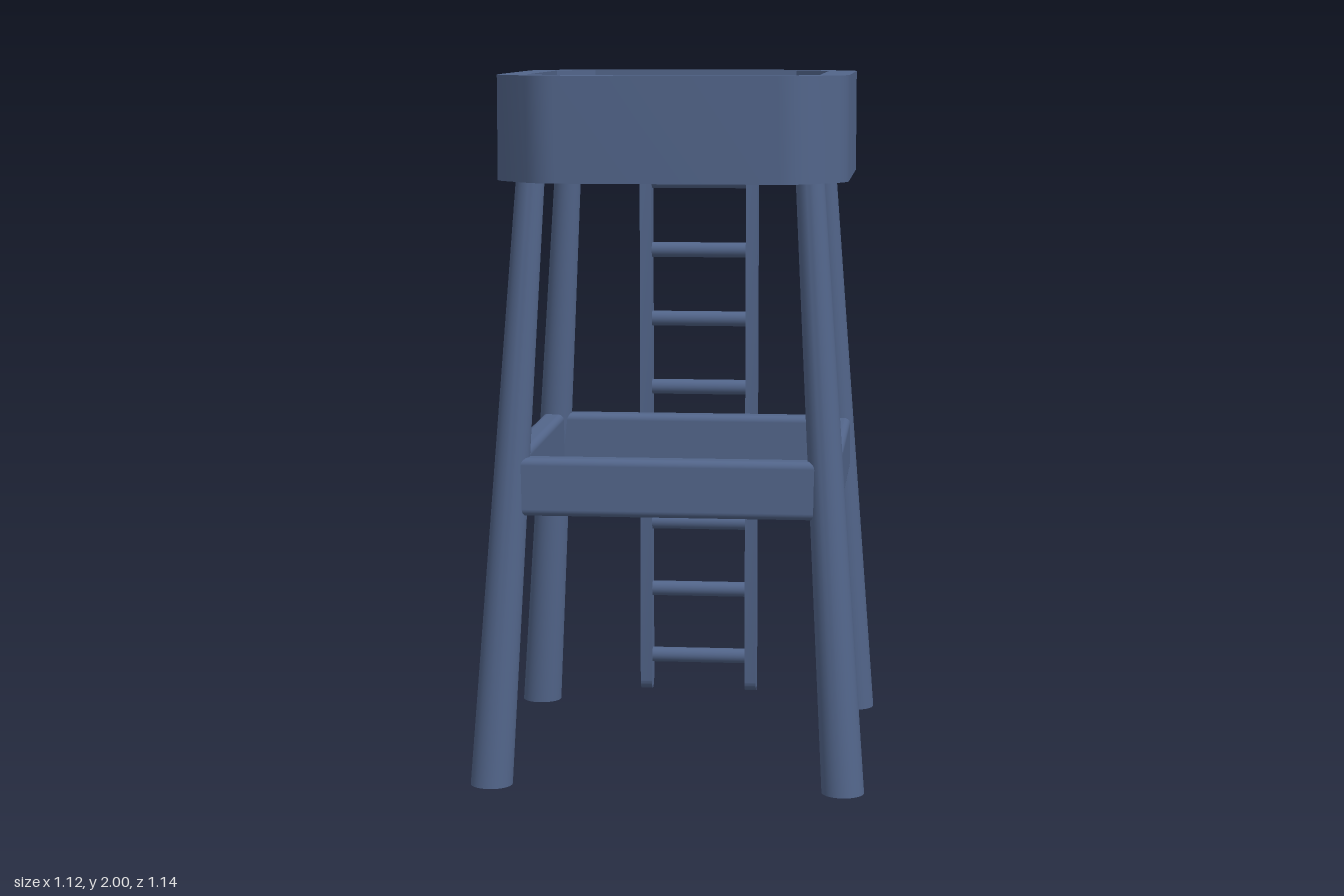
import * as THREE from 'three';
import { toCreasedNormals } from 'three/addons/utils/BufferGeometryUtils.js';
import { RoundedBoxGeometry } from 'three/addons/geometries/RoundedBoxGeometry.js';

const paint = new THREE.MeshStandardMaterial({ color: 0x52658a });
paint.name = 'slate blue paint';

function add(parent, name, geometry, x = 0, y = 0, z = 0) {
  const mesh = new THREE.Mesh(geometry, paint);
  mesh.name = name;
  mesh.position.set(x, y, z);
  parent.add(mesh);
  return mesh;
}

// Octagon corner points of a square with cut corners
function octagon(half, cut) {
  const a = half - cut;
  return [[a, half], [-a, half], [-half, a], [-half, -a], [-a, -half], [a, -half], [half, -a], [half, a]]
    .map(([x, y]) => new THREE.Vector2(x, y));
}

// Cut-corner square whose corners are softened by short curves
function softOctagon(half, cut, soft) {
  const shape = new THREE.Shape();
  const points = octagon(half, cut);
  points.forEach((p, i) => {
    const toward = (q) => p.clone().add(q.clone().sub(p).setLength(soft));
    const start = toward(points[(i + 7) % 8]);
    const end = toward(points[(i + 1) % 8]);
    if (i === 0) shape.moveTo(start.x, start.y);
    else shape.lineTo(start.x, start.y);
    shape.quadraticCurveTo(p.x, p.y, end.x, end.y);
  });
  shape.closePath();
  return shape;
}

// Upright prism standing on y = 0
function prism(shape, height) {
  const geometry = new THREE.ExtrudeGeometry(shape, { depth: height, bevelEnabled: false, curveSegments: 5 });
  geometry.rotateX(-Math.PI / 2);
  return toCreasedNormals(geometry, 0.45);
}

// Tapered round leg, sheared so both ends stay level
function legGeometry(sx, sz) {
  const height = 1.74;
  const geometry = new THREE.CylinderGeometry(0.04, 0.06, height, 28);
  geometry.translate(0, height / 2, 0);
  const p = geometry.attributes.position;
  for (let i = 0; i < p.count; i++) {
    const out = 0.499 - 0.063 * p.getY(i);
    p.setX(i, p.getX(i) + sx * out);
    p.setZ(i, p.getZ(i) + sz * out);
  }
  return toCreasedNormals(geometry, 0.6);
}

// Flat rail with round ends, thin along x
function railGeometry(width, thickness, bottom, top) {
  const r = width / 2;
  const shape = new THREE.Shape();
  shape.absarc(0, top - r, r, 0, Math.PI, false);
  shape.absarc(0, bottom + r, r, Math.PI, Math.PI * 2, false);
  shape.closePath();
  const geometry = new THREE.ExtrudeGeometry(shape, { depth: thickness, bevelEnabled: false, curveSegments: 12 });
  geometry.translate(0, 0, -thickness / 2);
  geometry.rotateY(Math.PI / 2);
  return toCreasedNormals(geometry, 0.6);
}

export function createModel() {
  const model = new THREE.Group();
  model.name = 'watchtower';

  const tower = new THREE.Group();
  tower.name = 'tower';
  tower.position.z = 0.012;
  model.add(tower);

  // Open basket: wall ring and sunken floor
  const wall = softOctagon(0.495, 0.138, 0.05);
  wall.holes.push(new THREE.Path(octagon(0.412, 0.104).reverse()));
  add(tower, 'basketWall', prism(wall, 0.295), 0, 1.705, 0);
  add(tower, 'basketFloor', prism(new THREE.Shape(octagon(0.412, 0.104)), 0.065), 0, 1.705, 0);

  // Splayed legs
  for (const sx of [-1, 1]) {
    for (const sz of [-1, 1]) {
      add(tower, (sz > 0 ? 'front' : 'back') + (sx > 0 ? 'Left' : 'Right') + 'Leg', legGeometry(sx, sz));
    }
  }

  // Cross braces joining the legs
  const brace = new RoundedBoxGeometry(0.88, 0.165, 0.07, 3, 0.02);
  ['frontBrace', 'leftBrace', 'backBrace', 'rightBrace'].forEach((name, i) => {
    const angle = i * Math.PI / 2;
    add(tower, name, brace, Math.sin(angle) * 0.446, 0.852, Math.cos(angle) * 0.446).rotation.y = angle;
  });

  // Ladder behind the basket
  const ladder = new THREE.Group();
  ladder.name = 'ladder';
  ladder.position.z = -0.536;
  model.add(ladder);
  const rail = railGeometry(0.072, 0.036, 0.03, 1.97);
  add(ladder, 'leftRail', rail, 0.166);
  add(ladder, 'rightRail', rail, -0.166);
  const rung = new THREE.CylinderGeometry(0.0235, 0.0235, 0.32, 20);
  rung.rotateZ(Math.PI / 2);
  for (let i = 0; i < 9; i++) add(ladder, 'rung' + (i + 1), rung, 0, 0.14 + i * 0.2165, 0);

  return model;
}
